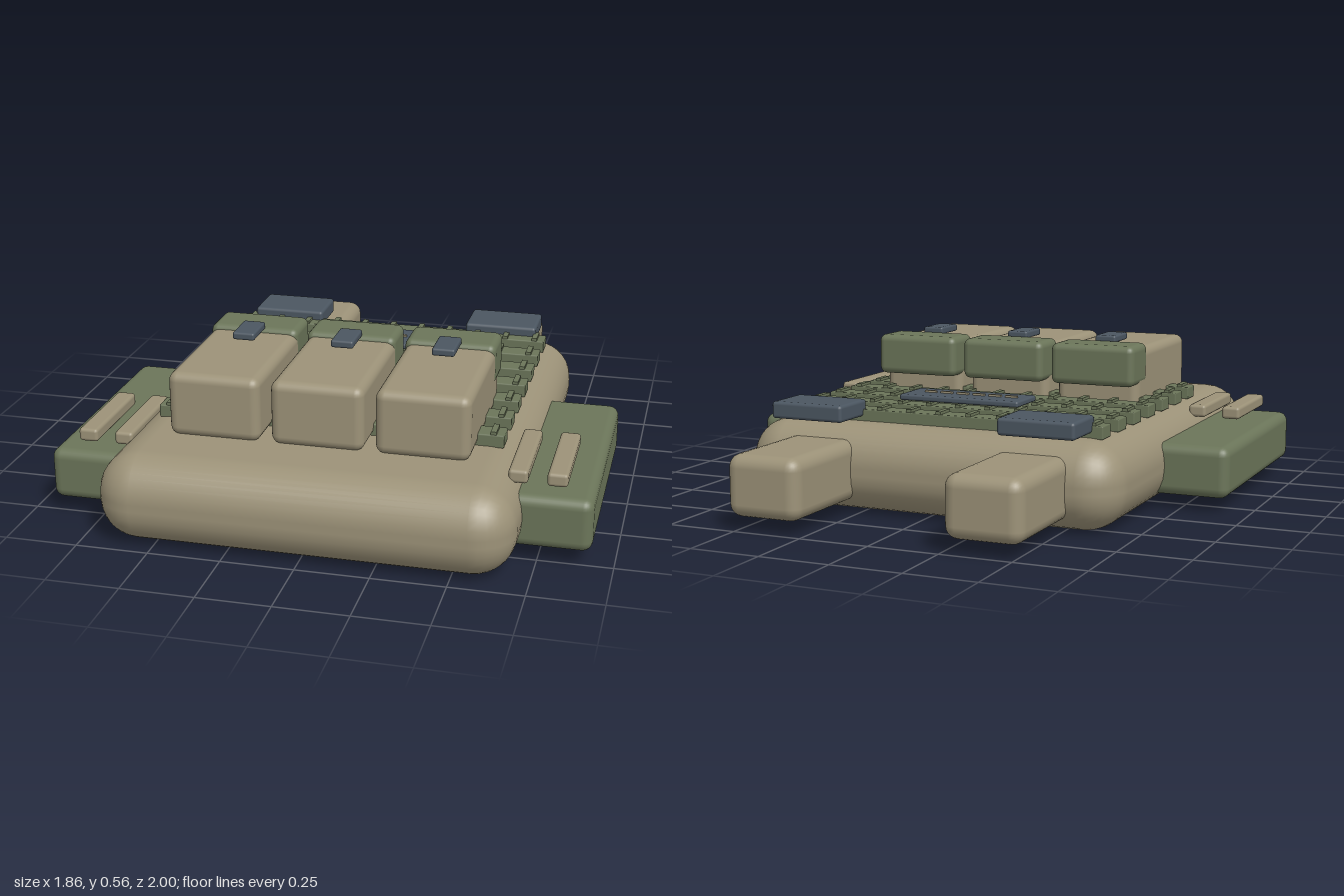
import * as THREE from 'three';
import { RoundedBoxGeometry } from 'three/addons/geometries/RoundedBoxGeometry.js';

export function createModel() {
  const model = new THREE.Group();
  model.name = 'plateCarrierVest';

  const material = (name, color) => {
    const m = new THREE.MeshStandardMaterial({ color });
    m.name = name;
    return m;
  };
  const tan = material('tanFabric', 0x9c9278);
  const green = material('greenFabric', 0x6b7559);
  const slate = material('slatePlastic', 0x4b5661);

  // Rounded box given by its extents on each axis
  function block(name, mat, [x0, x1], [y0, y1], [z0, z1], radius, segments = 3, parent = model) {
    const geometry = radius > 0
      ? new RoundedBoxGeometry(x1 - x0, y1 - y0, z1 - z0, segments, radius)
      : new THREE.BoxGeometry(x1 - x0, y1 - y0, z1 - z0);
    const mesh = new THREE.Mesh(geometry, mat);
    mesh.name = name;
    mesh.position.set((x0 + x1) / 2, (y0 + y1) / 2, (z0 + z1) / 2);
    parent.add(mesh);
    return mesh;
  }
  const around = (centre, size) => [centre - size / 2, centre + size / 2];

  // Padded main panel
  block('mainPanel', tan, [-0.7, 0.7], [0, 0.305], [-0.635, 1], 0.14, 4);

  // Paired parts on both sides
  for (const [label, side] of [['left', 1], ['right', -1]]) {
    const span = (a, b) => side > 0 ? [a, b] : [-b, -a];
    block(label + 'ShoulderStrap', tan, span(0.258, 0.53), [0.045, 0.258], [-1, -0.5], 0.045);
    block(label + 'ShoulderBuckle', slate, span(0.29, 0.565), [0.32, 0.38], [-0.64, -0.45], 0.012, 2);
    block(label + 'SidePanel', green, span(0.6, 0.928), [0.05, 0.232], [-0.108, 0.772], 0.035);
    block(label + 'InnerSideStrap', tan, span(0.643, 0.708), [0.254, 0.3], [0.362, 0.726], 0.012, 2);
    block(label + 'OuterSideStrap', tan, span(0.77, 0.838), [0.254, 0.3], [0.362, 0.726], 0.012, 2);
  }

  // Rows of webbing with raised stitch bars
  for (let row = 0; row < 7; row++) {
    const group = new THREE.Group();
    group.name = 'webbingRow' + (row + 1);
    model.add(group);
    const z = -0.438 + row * 0.16;
    block('webbingStrip', green, [-0.604, 0.604], [0.3, 0.346], around(z, 0.08), 0.005, 1, group);
    for (let i = -5; i <= 5; i++) {
      block('stitchBar', green, around(i * 0.1135, 0.02), [0.34, 0.356], around(z, 0.074), 0, 1, group);
    }
  }

  // Chest patch with a row of tan stitches
  block('chestPatch', slate, [-0.232, 0.228], [0.36, 0.382], [-0.32, -0.148], 0.008, 2);
  for (let i = 0; i < 6; i++) {
    block('patchStitch', tan, around(-0.173 + i * 0.063, 0.046), [0.381, 0.389], around(-0.235, 0.012), 0);
  }

  // Three pouches, each with a flap and a clip
  for (const x of [-0.356, 0, 0.356]) {
    const pouch = new THREE.Group();
    pouch.name = 'pouch';
    model.add(pouch);
    block('pouchBody', tan, around(x, 0.318), [0.3, 0.525], [0.14, 0.712], 0.032, 3, pouch);
    block('pouchFlap', green, around(x, 0.322), [0.392, 0.542], [0.075, 0.245], 0.025, 3, pouch);
    block('pouchClip', slate, around(x, 0.08), [0.535, 0.562], [0.226, 0.366], 0.008, 2, pouch);
  }

  return model;
}
